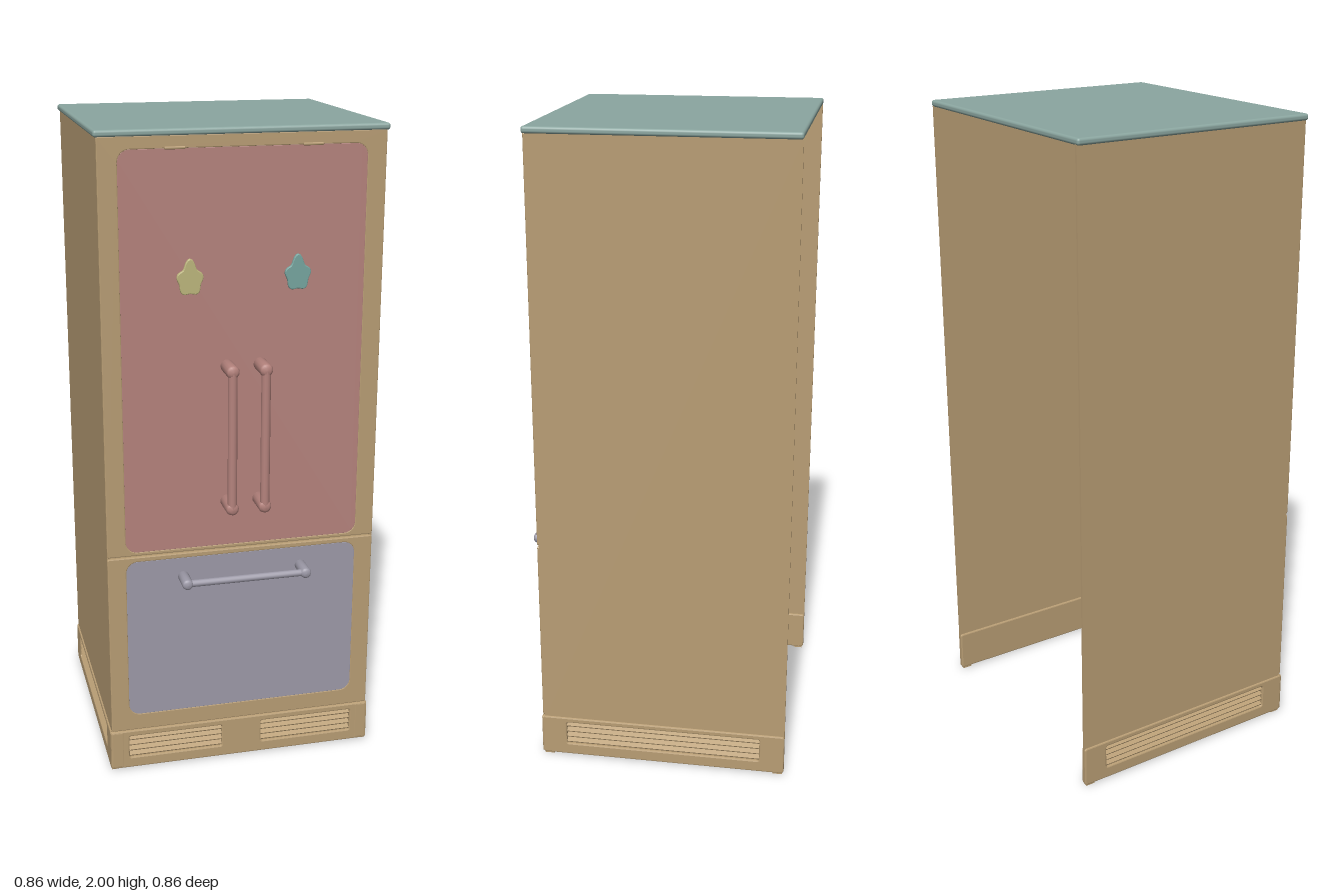
import * as THREE from 'three';
import { RoundedBoxGeometry } from 'three/addons/geometries/RoundedBoxGeometry.js';

const mat = (color) => new THREE.MeshStandardMaterial({ color, side: THREE.DoubleSide });
const TAN = mat(0xb89d74), PINK = mat(0xb5837d), LILAC = mat(0x9d9aa8);
const TEAL = mat(0x8ba6a0), AQUA = mat(0x76a59f), YELLOW = mat(0xbdb67c);
const FRONT = 0.347, BACK = -0.43, DEPTH = FRONT - BACK, MID = (FRONT + BACK) / 2;

function add(parent, name, geometry, material, x = 0, y = 0, z = 0) {
  const mesh = new THREE.Mesh(geometry, material);
  mesh.name = name;
  mesh.position.set(x, y, z);
  parent.add(mesh);
  return mesh;
}

// Rounded rectangle between two corners, as a Shape or a Path for a hole
function roundRect(x0, y0, x1, y1, r, Type = THREE.Shape) {
  const p = new Type();
  p.moveTo(x0 + r, y0);
  p.lineTo(x1 - r, y0); p.absarc(x1 - r, y0 + r, r, -Math.PI / 2, 0);
  p.lineTo(x1, y1 - r); p.absarc(x1 - r, y1 - r, r, 0, Math.PI / 2);
  p.lineTo(x0 + r, y1); p.absarc(x0 + r, y1 - r, r, Math.PI / 2, Math.PI);
  p.lineTo(x0, y0 + r); p.absarc(x0 + r, y0 + r, r, Math.PI, Math.PI * 1.5);
  return p;
}

// Plate with a small bevel whose front face lies at z = 0
function plate(shape, depth, bevel = 0.003) {
  return new THREE.ExtrudeGeometry(shape, {
    depth: depth - 2 * bevel, bevelSize: bevel, bevelThickness: bevel, bevelOffset: -bevel,
    bevelSegments: 2, curveSegments: 6,
  }).translate(0, 0, bevel - depth);
}

// Frame with a flush coloured panel in its opening
function door(name, y0, y1, p0, p1, material) {
  const group = new THREE.Group();
  group.name = name;
  const frame = roundRect(-0.42, y0, 0.42, y1, 0.006);
  frame.holes.push(roundRect(-0.362, p0, 0.362, p1, 0.035, THREE.Path));
  add(group, name + 'Frame', plate(frame, 0.022), TAN, 0, 0, FRONT);
  const panel = roundRect(-0.364, p0 - 0.002, 0.364, p1 + 0.002, 0.036);
  add(group, name + 'Panel', plate(panel, 0.01, 0.002), material, 0, 0, FRONT - 0.001);
  return group;
}

// Bar held by two round-ended posts; built upright, facing +z
function handle(name, half, barR, postR, barZ, tipZ, material) {
  const group = new THREE.Group();
  group.name = name;
  add(group, 'bar', new THREE.CylinderGeometry(barR, barR, half * 2, 14), material, 0, 0, barZ);
  const length = tipZ + 0.004;
  for (const s of [-1, 1]) {
    const profile = [[0, 0], [postR, 0], [postR, length - postR * 0.6], [postR * 0.85, length - postR * 0.22],
      [postR * 0.5, length - postR * 0.04], [0, length]].map(([x, y]) => new THREE.Vector2(x, y));
    const post = add(group, 'post', new THREE.LatheGeometry(profile, 16), material, 0, s * half, -0.004);
    post.rotation.x = Math.PI / 2;
  }
  return group;
}

// Base band with louvred openings, each given as [start, end]
function grille(name, half, openings, lo, hi) {
  const group = new THREE.Group();
  group.name = name;
  const band = roundRect(-half, 0.004, half, 0.135, 0.008);
  for (const [a, b] of openings) {
    band.holes.push(roundRect(a, lo, b, hi, 0.006, THREE.Path));
    const w = b - a, c = (a + b) / 2;
    add(group, 'grilleBacking', new THREE.BoxGeometry(w + 0.01, hi - lo + 0.01, 0.004), TAN, c, (lo + hi) / 2, -0.018);
    for (let i = 0; i < 4; i++) {
      const y = lo + (hi - lo) * (i + 0.5) / 4;
      const slat = add(group, 'slat', new THREE.BoxGeometry(w, 0.005, 0.017), TAN, c, y, -0.011);
      slat.rotation.x = 0.5;
    }
  }
  add(group, 'baseBand', plate(band, 0.02, 0.004), TAN);
  return group;
}

// Small fruit-shaped magnet with a leafy top
function magnet(name, x, material) {
  const points = [];
  for (let i = 0; i < 48; i++) {
    const a = i / 48 * Math.PI * 2, top = Math.max(0, Math.sin(a));
    const r = 0.037 * (1 + 0.1 * Math.cos(5 * (a - Math.PI / 2)) + 0.4 * top ** 12);
    points.push(new THREE.Vector2(r * Math.cos(a), r * 1.15 * Math.sin(a)));
  }
  const group = new THREE.Group();
  group.name = name;
  add(group, 'magnetBody', plate(new THREE.Shape(points), 0.01, 0.003), material, 0, 0, 0.006);
  group.position.set(x, 1.572, FRONT);
  return group;
}

export function createModel() {
  const model = new THREE.Group();
  model.name = 'refrigerator';

  // Top and the two thin side walls; back and bottom are open
  add(model, 'top', new RoundedBoxGeometry(0.856, 0.02, 0.782, 3, 0.008), TEAL, 0, 1.99, MID + 0.001);
  for (const s of [-1, 1]) {
    add(model, 'sideWall', new THREE.BoxGeometry(0.008, 1.86, DEPTH - 0.006), TAN, s * 0.416, 1.052, MID - 0.003);
  }

  // Doors, seam strips and hinge covers
  model.add(door('upperDoor', 0.733, 1.983, 0.745, 1.945, PINK));
  model.add(door('drawer', 0.137, 0.728, 0.192, 0.712, LILAC));
  for (const y of [0.73, 0.136]) {
    add(model, 'seamStrip', new THREE.BoxGeometry(0.82, 0.016, 0.012), TAN, 0, y, FRONT - 0.016);
  }
  for (const s of [-1, 1]) {
    add(model, 'hingeCover', new RoundedBoxGeometry(0.06, 0.008, 0.008, 2, 0.003), TAN, s * 0.2, 1.947, FRONT);
  }

  // Handles
  for (const s of [-1, 1]) {
    const h = handle('doorHandle', 0.212, 0.014, 0.02, 0.069, 0.083, PINK);
    h.position.set(s * 0.05, 1.1, FRONT);
    model.add(h);
  }
  const bar = handle('drawerHandle', 0.186, 0.011, 0.017, 0.057, 0.073, LILAC);
  bar.rotation.z = Math.PI / 2;
  bar.position.set(0, 0.651, FRONT);
  model.add(bar);

  // Magnets
  model.add(magnet('yellowMagnet', -0.16, YELLOW), magnet('aquaMagnet', 0.16, AQUA));

  // Base grilles on the front and both sides
  const front = grille('frontBase', 0.424, [[-0.365, -0.065], [0.065, 0.365]], 0.04, 0.115);
  front.position.z = FRONT + 0.003;
  model.add(front);
  add(model, 'baseCentreBlock', new RoundedBoxGeometry(0.11, 0.11, 0.03, 2, 0.005), TAN, 0, 0.07, FRONT - 0.016);
  for (const s of [-1, 1]) {
    const side = grille('sideBase', DEPTH / 2, [[-0.31, 0.31]], 0.042, 0.118);
    side.rotation.y = s * Math.PI / 2;
    side.position.set(s * 0.425, 0, MID);
    model.add(side);
    // Corner posts and feet
    add(model, 'cornerPost', new RoundedBoxGeometry(0.045, 0.131, 0.045, 3, 0.008), TAN, s * 0.402, 0.07, FRONT - 0.019);
    for (const z of [FRONT - 0.02, BACK + 0.02]) {
      add(model, 'foot', new THREE.BoxGeometry(0.016, 0.012, 0.03), TAN, s * 0.414, 0.006, z);
    }
  }
  return model;
}
